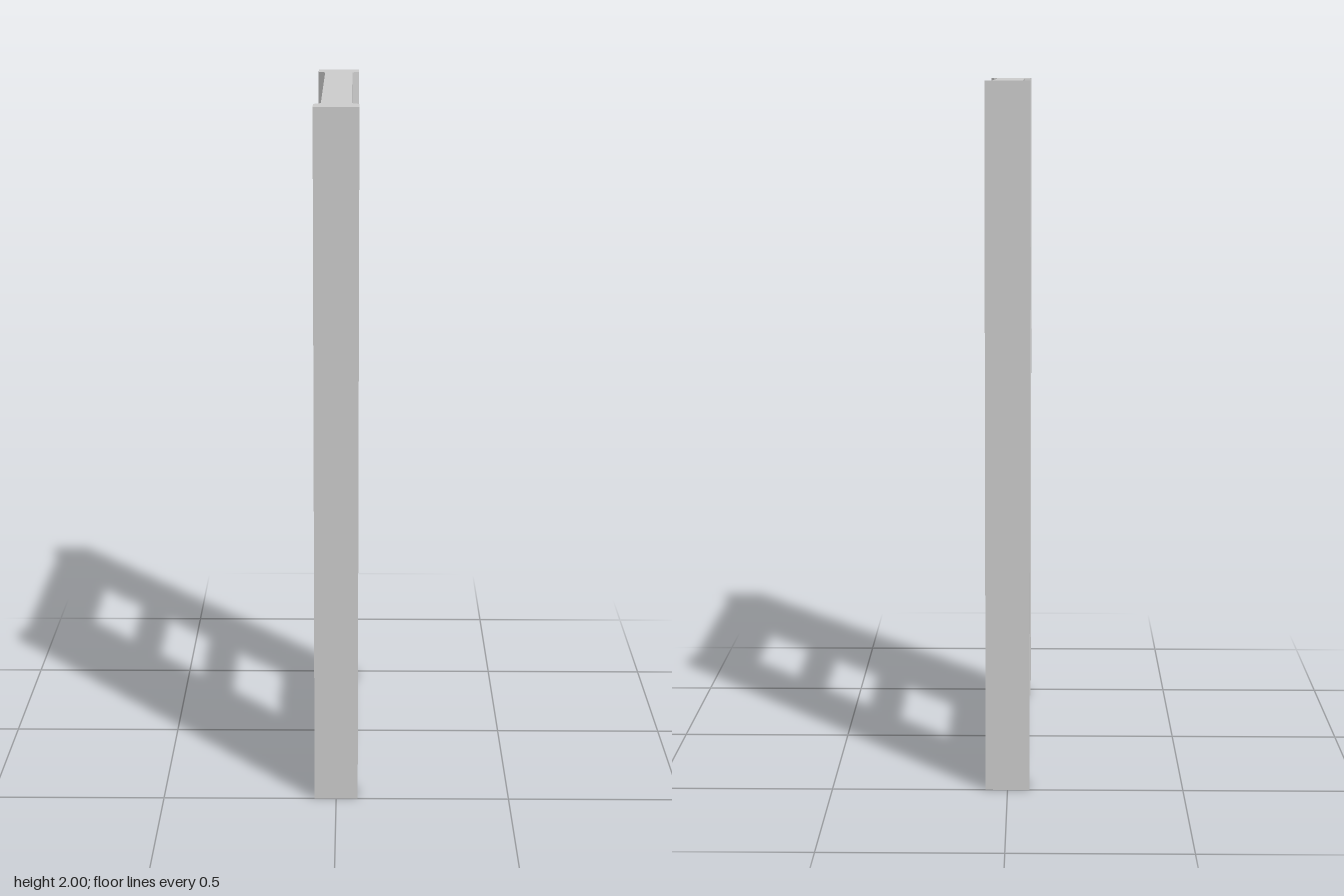
import * as THREE from 'three';

const HEIGHT = 2;
const PANEL_X = 0.042, PANEL_Z = 0.41;   // half thickness and half width of the panel
const POST_X = 0.0625, POST_Z = 0.5;     // half thickness and outer face of the posts
const CHAMFER_Z = 0.43;

const polygon = (points) => points.map(([x, y]) => new THREE.Vector2(x, y));
const rectangle = (x0, x1, y0, y1) => polygon([[x0, y0], [x1, y0], [x1, y1], [x0, y1]]);

export function createModel() {
  const group = new THREE.Group();
  group.name = 'door';
  const material = new THREE.MeshStandardMaterial({ color: 0xcccccc, flatShading: true });

  // Panel, drawn in its own plane with three window openings
  const panelShape = new THREE.Shape(rectangle(-PANEL_Z, PANEL_Z, 0, HEIGHT));
  for (let i = 0; i < 3; i++) {
    const bottom = 0.275 + i * 0.5;
    panelShape.holes.push(new THREE.Path(rectangle(-0.152, 0.298, bottom, bottom + 0.455)));
  }
  const panelGeometry = new THREE.ExtrudeGeometry(panelShape, { depth: 2 * PANEL_X, bevelEnabled: false });
  panelGeometry.translate(0, 0, -PANEL_X).rotateY(Math.PI / 2);
  const panel = new THREE.Mesh(panelGeometry, material);
  panel.name = 'windowPanel';
  group.add(panel);

  // Edge posts, thicker than the panel and chamfered towards it
  const postShape = new THREE.Shape(polygon([
    [-POST_X, -POST_Z], [POST_X, -POST_Z], [POST_X, -CHAMFER_Z],
    [PANEL_X, -PANEL_Z], [-PANEL_X, -PANEL_Z], [-POST_X, -CHAMFER_Z],
  ]));
  const postGeometry = new THREE.ExtrudeGeometry(postShape, { depth: HEIGHT, bevelEnabled: false });
  postGeometry.rotateX(-Math.PI / 2);
  ['frontPost', 'backPost'].forEach((name, i) => {
    const post = new THREE.Mesh(postGeometry, material);
    post.name = name;
    post.rotation.y = i * Math.PI;
    group.add(post);
  });

  return group;
}
